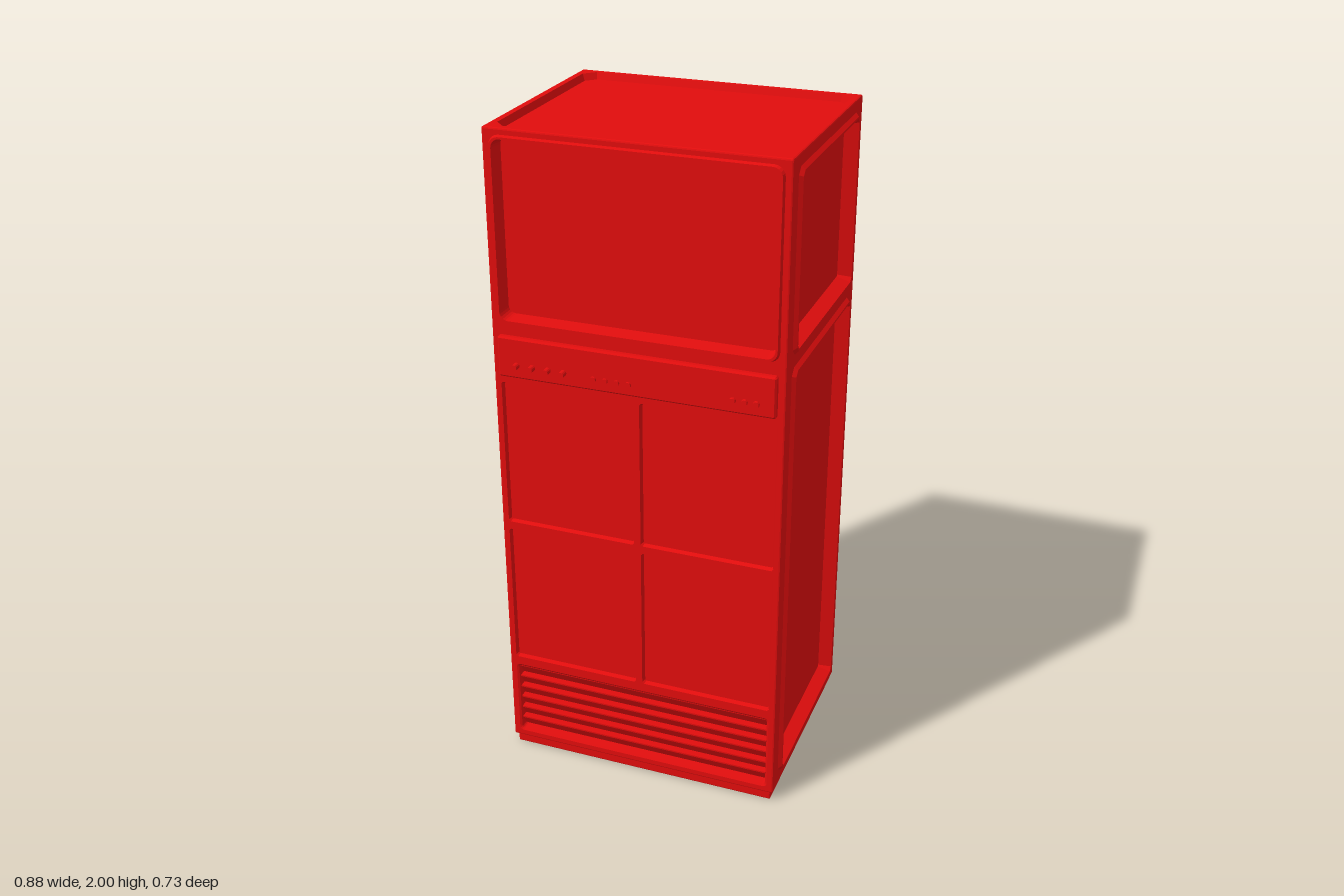
import * as THREE from 'three';
import { RoundedBoxGeometry } from 'three/addons/geometries/RoundedBoxGeometry.js';

const W = 0.86, H = 1.97, D = 0.675;   // cabinet size
const CY = 1.015, CZ = -0.0125;        // cabinet centre
const red = new THREE.MeshStandardMaterial({ color: 0xe00d0d, flatShading: true, side: THREE.DoubleSide });

function add(parent, name, geometry, x = 0, y = 0, z = 0) {
  const mesh = new THREE.Mesh(geometry, red);
  mesh.name = name;
  mesh.position.set(x, y, z);
  parent.add(mesh);
  return mesh;
}

// Rounded (n > 1) or chamfered (n = 1) rectangle outline, counter-clockwise
function outline(p, inset) {
  const { w, h, r, n } = p;
  const hw = w / 2 - inset, hh = h / 2 - inset, rr = Math.max(r - inset * 0.5, 0.001);
  const pts = [];
  [[1, 1], [-1, 1], [-1, -1], [1, -1]].forEach(([sx, sy], q) => {
    for (let i = 0; i <= n; i++) {
      const a = (q + i / n) * Math.PI / 2;
      pts.push(new THREE.Vector2(p.x + sx * (hw - rr) + rr * Math.cos(a), p.y + sy * (hh - rr) + rr * Math.sin(a)));
    }
  });
  return pts;
}

// Stepped panel: loops at [inset, height], closed by a flat centre
function panelGeometry(p) {
  const pos = [], idx = [], n = 4 * (p.n + 1);
  p.steps.forEach(([inset, z], k) => {
    outline(p, inset).forEach(v => pos.push(v.x, v.y, z));
    if (!k) return;
    for (let i = 0; i < n; i++) {
      const a = (k - 1) * n + i, b = (k - 1) * n + (i + 1) % n;
      idx.push(a, b, b + n, a, b + n, a + n);
    }
  });
  const last = (p.steps.length - 1) * n;
  for (let i = 1; i < n - 1; i++) idx.push(last, last + i, last + i + 1);
  const g = new THREE.BufferGeometry();
  g.setAttribute('position', new THREE.Float32BufferAttribute(pos, 3));
  g.setIndex(idx);
  g.computeVertexNormals();
  return g;
}

// One cabinet face, cut open wherever a panel sinks below it
function face(parent, name, w, h, position, rotation, panels) {
  const g = new THREE.Group();
  g.name = name;
  g.position.set(...position);
  g.rotation.set(...rotation);
  parent.add(g);
  const m = 0.007, x = w / 2 - m, y = h / 2 - m;
  const shape = new THREE.Shape([[-x, -y], [x, -y], [x, y], [-x, y]].map(c => new THREE.Vector2(...c)));
  for (const p of panels) {
    if (p.steps.at(-1)[1] < 0) {
      const inset = p.steps.filter(s => s[1] >= 0).at(-1)[0];
      shape.holes.push(new THREE.Path(outline(p, inset).reverse()));
    }
    add(g, p.name, panelGeometry(p));
  }
  add(g, name + 'Sheet', new THREE.ShapeGeometry(shape));
  return g;
}

// Panel from its edges; y values are heights above the floor
const panel = (name, x0, x1, y0, y1, r, n, steps) =>
  ({ name, x: (x0 + x1) / 2, y: (y0 + y1) / 2 - CY, w: x1 - x0, h: y1 - y0, r, n, steps });

export function createModel() {
  const model = new THREE.Group();
  model.name = 'cabinet';
  const body = new THREE.Group();
  body.name = 'body';
  body.position.set(0, CY, CZ);
  model.add(body);

  // Bevelled edge posts and plinth
  const t = 0.014;
  for (const a of [-1, 1]) for (const b of [-1, 1]) {
    const ex = a * (W - t) / 2, ey = b * (H - t) / 2, ez = b * (D - t) / 2;
    add(body, 'uprightEdge', new RoundedBoxGeometry(t, H, t, 1, 0.005), ex, 0, ez);
    add(body, 'sideEdge', new RoundedBoxGeometry(t, t, D, 1, 0.005), ex, ey, 0);
    add(body, 'crossEdge', new RoundedBoxGeometry(W, t, t, 1, 0.005), 0, ey, a * (D - t) / 2);
  }
  add(model, 'plinth', new RoundedBoxGeometry(0.84, 0.04, 0.66, 1, 0.004), 0, 0.02, -0.0125);

  // Front: framed display, control strip, four doors and grille
  const doorSteps = [[0, 0], [0.005, -0.012]];
  const front = [
    panel('display', -0.41, 0.41, 1.448, 1.982, 0.03, 5,
      [[0, 0], [0.004, 0.01], [0.01, 0.01], [0.015, -0.04]]),
    panel('controlStrip', -0.408, 0.408, 1.29, 1.412, 0.004, 1, [[0, 0], [0, 0.012], [0.005, 0.017]]),
    panel('grilleRecess', -0.41, 0.41, 0.05, 0.302, 0.012, 3, [[0, 0], [0.006, -0.004], [0.008, -0.035]]),
  ];
  for (const s of [-1, 1]) for (const y of [0.33, 0.81]) {
    front.push(panel('door', s * 0.21 - 0.2, s * 0.21 + 0.2, y, y + 0.455, 0.006, 1, doorSteps));
  }
  face(body, 'front', W, H, [0, 0, D / 2], [0, 0, 0], front);

  // Back: two raised slabs
  const slab = [[0, 0], [0, 0.007], [0.008, 0.015]];
  face(body, 'back', W, H, [0, 0, -D / 2], [0, Math.PI, 0], [
    panel('upperBackPanel', -0.41, 0.41, 1.448, 1.98, 0.008, 1, slab),
    panel('lowerBackPanel', -0.41, 0.41, 0.052, 1.412, 0.008, 1, slab),
  ]);

  // Sides: raised rims around sunken panels
  const sunken = [[0, 0], [0.01, 0.01], [0.016, 0.01], [0.031, -0.03]];
  for (const s of [-1, 1]) {
    face(body, s > 0 ? 'leftSide' : 'rightSide', D, H, [s * W / 2, 0, 0], [0, s * Math.PI / 2, 0], [
      panel('upperSidePanel', -0.29, 0.29, 1.448, 1.965, 0.02, 1, sunken),
      panel('lowerSidePanel', -0.29, 0.29, 0.07, 1.412, 0.02, 1, sunken),
    ]);
  }

  // Roof with shallow chamfered tray, and underside
  face(body, 'roof', W, D, [0, H / 2, 0], [-Math.PI / 2, 0, 0], [
    panel('roofTray', -0.408, 0.408, CY - 0.316, CY + 0.316, 0.032, 1, [[0, 0], [0.007, -0.02]]),
  ]);
  face(body, 'underside', W, D, [0, -H / 2, 0], [Math.PI / 2, 0, 0], []);

  // Grille louvres: saw-tooth section swept across the recess
  const saw = new THREE.Shape();
  const count = 6, y0 = 0.058, pitch = 0.236 / count, back = 0.285, lip = 0.316;
  saw.moveTo(back, y0);
  for (let i = 0; i < count; i++) {
    const y = y0 + i * pitch;
    saw.lineTo(0.294, y);
    saw.lineTo(lip, y + pitch * 0.88);
    saw.lineTo(lip, y + pitch);
  }
  saw.lineTo(back, y0 + count * pitch);
  const louvres = new THREE.ExtrudeGeometry(saw, { depth: 0.804, bevelEnabled: false });
  louvres.translate(0, 0, -0.402).rotateY(-Math.PI / 2);
  add(model, 'grilleLouvres', louvres);

  // Knobs and buttons in three rows
  const row = (name, x, y, step, n, r, z1) => {
    for (let i = 0; i < n; i++) {
      const g = new THREE.CylinderGeometry(r * 0.92, r, z1 - 0.335, 12).rotateX(Math.PI / 2);
      add(model, name, g, x + i * step, y, (z1 + 0.335) / 2);
    }
  };
  row('knob', -0.351, 1.33, 0.0477, 4, 0.0095, 0.362);
  row('middleButton', -0.118, 1.325, 0.0345, 4, 0.009, 0.348);
  row('rightButton', 0.287, 1.328, 0.0335, 3, 0.0095, 0.351);

  return model;
}
